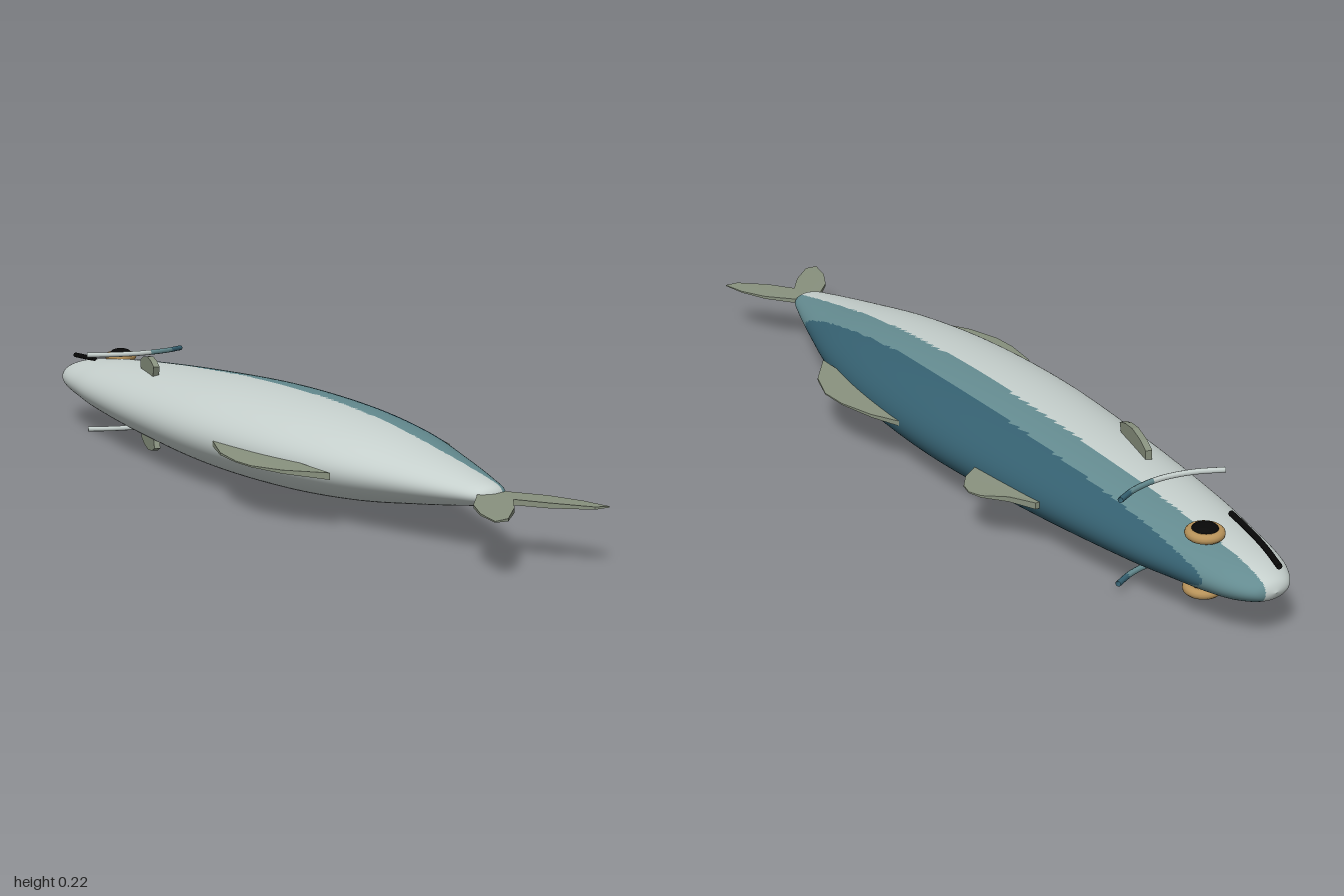
import * as THREE from 'three';

const MID = 0.113; // height of the fish's centre plane (it lies on its side)

function mat(name, color, double = false) {
  const m = new THREE.MeshStandardMaterial({ color, side: double ? THREE.DoubleSide : THREE.FrontSide });
  m.name = name;
  return m;
}

// Sort triangles into belly, flank and back groups by their x position
function bandByX(geo) {
  const pos = geo.attributes.position, idx = geo.index.array, bands = [[], [], []];
  for (let i = 0; i < idx.length; i += 3) {
    const x = (pos.getX(idx[i]) + pos.getX(idx[i + 1]) + pos.getX(idx[i + 2])) / 3;
    bands[x < 0.022 ? 0 : x < 0.09 ? 1 : 2].push(idx[i], idx[i + 1], idx[i + 2]);
  }
  geo.setIndex(bands.flat());
  geo.clearGroups();
  let start = 0;
  bands.forEach((b, i) => { geo.addGroup(start, b.length, i); start += b.length; });
  return geo;
}

// Flat fin from an x/z outline, thinning from x = root to x = tip
function finGeometry(points, thick, root, tip) {
  const shape = new THREE.Shape(points.map(p => new THREE.Vector2(...p)));
  const geo = new THREE.ExtrudeGeometry(shape, { depth: thick, bevelEnabled: false });
  geo.translate(0, 0, -thick / 2);
  geo.rotateX(Math.PI / 2);
  const pos = geo.attributes.position;
  for (let i = 0; i < pos.count; i++) {
    const t = THREE.MathUtils.clamp((Math.abs(pos.getX(i)) - root) / (tip - root), 0, 1);
    pos.setY(i, pos.getY(i) * (1 - 0.8 * t));
  }
  geo.translate(0, MID, 0);
  geo.computeVertexNormals();
  return geo;
}

function tube(points, radius) {
  const curve = new THREE.CatmullRomCurve3(points.map(p => new THREE.Vector3(...p)));
  return new THREE.TubeGeometry(curve, 32, radius, 8);
}

export function createModel() {
  const fish = new THREE.Group();
  fish.name = 'fish';
  const belly = mat('belly silver', 0xc6d0cd, true);
  const flank = mat('flank teal', 0x648b90, true);
  const back = mat('back blue', 0x356070, true);
  const finMat = mat('fin olive', 0x88917e, true);
  const gold = mat('eye gold', 0xb8935a);
  const black = mat('black', 0x080808, true);
  const skin = [belly, flank, back];

  const add = (name, geo, material) => {
    const m = new THREE.Mesh(geo, material);
    m.name = name;
    fish.add(m);
    return m;
  };

  // Body: a turned profile, flattened from side to side
  const profile = new THREE.SplineCurve([
    [0, -0.998], [0.04, -0.985], [0.07, -0.945], [0.09, -0.89], [0.11, -0.8],
    [0.135, -0.67], [0.17, -0.4], [0.195, -0.08], [0.187, 0.2], [0.155, 0.42],
    [0.105, 0.6], [0.06, 0.74], [0.035, 0.8], [0, 0.815],
  ].map(p => new THREE.Vector2(...p))).getPoints(130);
  profile.forEach(p => { p.x = Math.max(p.x, 0); });
  const body = new THREE.LatheGeometry(profile, 128);
  body.rotateX(Math.PI / 2);
  body.scale(1, 0.503, 1);
  body.translate(0, MID, 0);
  add('body', bandByX(body), skin);

  // Fins on the back and belly edges
  add('frontDorsalFin', finGeometry([
    [0.15, -0.46], [0.172, -0.46], [0.2, -0.405], [0.24, -0.365], [0.25, -0.335],
    [0.243, -0.305], [0.22, -0.275], [0.18, -0.25], [0.165, -0.26],
  ], 0.014, 0.18, 0.25), finMat);
  add('rearDorsalFin', finGeometry([
    [0.165, 0.02], [0.19, 0.02], [0.225, 0.1], [0.247, 0.19], [0.25, 0.26],
    [0.225, 0.34], [0.167, 0.42], [0.165, 0.3],
  ], 0.014, 0.18, 0.25), finMat);
  add('analFin', finGeometry([
    [-0.165, 0.08], [-0.19, 0.06], [-0.236, 0.18], [-0.25, 0.27], [-0.248, 0.33],
    [-0.222, 0.41], [-0.165, 0.495], [-0.163, 0.35],
  ], 0.014, 0.18, 0.25), finMat);

  // Forked tail
  const lobe = [[0.022, 0.79], [0.085, 0.865], [0.115, 0.93], [0.128, 0.993], [0.097, 0.99], [0.04, 0.93]];
  const mirrored = lobe.map(([x, z]) => [-x, z]).reverse();
  add('tailFin', finGeometry([...lobe, [0, 0.872], ...mirrored], 0.011, 0.03, 0.13), finMat);

  // Parts repeated on both faces of the fish (s = 1 top, -1 underside)
  for (const s of [1, -1]) {
    const side = s > 0 ? 'upper' : 'lower';

    // Gill cover line
    const y = MID + s * 0.09;
    add(side + 'GillLine', bandByX(tube([
      [-0.128, y, -0.677], [-0.07, y, -0.652], [0, y, -0.641], [0.07, y, -0.652], [0.125, y, -0.677],
    ], 0.006)), skin);

    // Pectoral fin: a small upright plate slanting along the body
    const shape = new THREE.Shape([
      [0, 0.06], [0, 0.093], [0.03, 0.104], [0.075, 0.11], [0.115, 0.105], [0.145, 0.095], [0.13, 0.06],
    ].map(([a, h]) => new THREE.Vector2(a, s * h)));
    const pectoral = new THREE.ExtrudeGeometry(shape, { depth: 0.014, bevelEnabled: false });
    pectoral.translate(0, 0, -0.007);
    pectoral.rotateY(-Math.PI / 2 - 0.26);
    pectoral.translate(-0.051, MID, -0.53);
    add(side + 'PectoralFin', pectoral, finMat);

    // Eye: gold ring with a domed pupil
    const ring = add(side + 'EyeRing', new THREE.TorusGeometry(0.029, 0.01, 12, 32), gold);
    ring.rotation.x = Math.PI / 2;
    ring.position.set(0.033, MID + s * 0.058, -0.822);
    const pupil = add(side + 'Pupil', new THREE.SphereGeometry(0.026, 24, 16), black);
    pupil.scale.y = 0.45;
    pupil.position.set(0.033, MID + s * 0.066, -0.822);
  }

  // Mouth line
  add('mouth', tube([
    [-0.014, 0.157, -0.985], [-0.032, 0.164, -0.92], [-0.046, 0.17, -0.85], [-0.054, 0.175, -0.79],
  ], 0.006), black);

  return fish;
}
